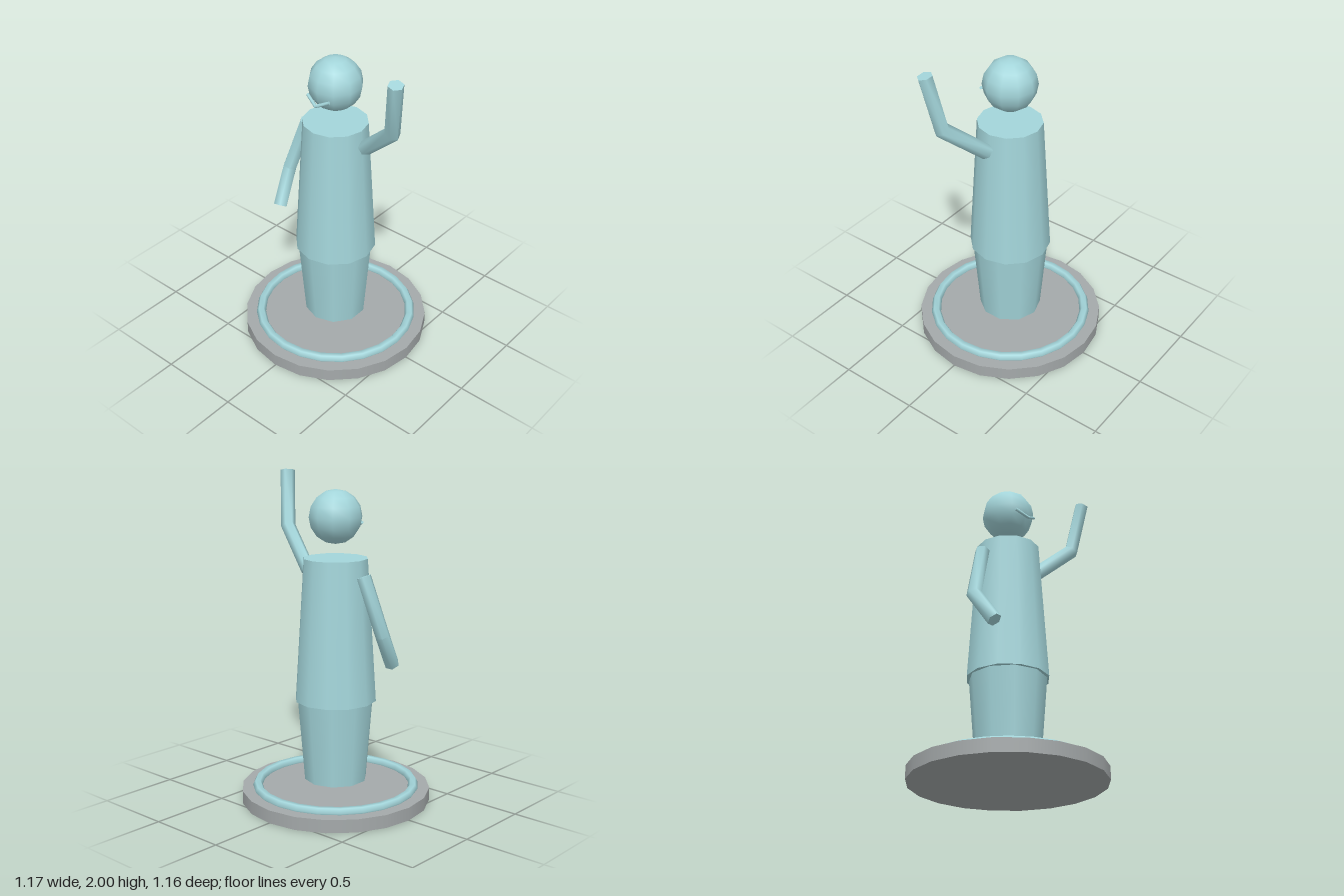
import * as THREE from 'three';
import { toCreasedNormals } from 'three/addons/utils/BufferGeometryUtils.js';

const CX = -0.004; // shared axis of base, body and head

// Capped limb through a list of points, mitred at each bend
function limbGeometry(points, radius, sides) {
  const p = points.map((a) => new THREE.Vector3(...a));
  const dirs = p.slice(1).map((b, i) => b.clone().sub(p[i]).normalize());
  const u = new THREE.Vector3(0, 0, 1).cross(dirs[0]).normalize();
  const v = dirs[0].clone().cross(u);
  let ring = Array.from({ length: sides }, (_, i) => {
    const a = (i / sides) * Math.PI * 2;
    return p[0].clone().addScaledVector(u, radius * Math.cos(a)).addScaledVector(v, radius * Math.sin(a));
  });
  const rings = [ring];
  // slide each ring along its segment onto the next joint plane
  dirs.forEach((d, k) => {
    const normal = d.clone().add(dirs[k + 1] ?? d).normalize();
    ring = ring.map((q) => {
      const t = p[k + 1].clone().sub(q).dot(normal) / d.dot(normal);
      return q.clone().addScaledVector(d, t);
    });
    rings.push(ring);
  });
  const verts = [...rings.flat(), p[0], p[p.length - 1]];
  const start = verts.length - 2;
  const end = verts.length - 1;
  const last = (rings.length - 1) * sides;
  const index = [];
  for (let i = 0; i < sides; i++) {
    const j = (i + 1) % sides;
    for (let k = 0; k < last; k += sides) {
      index.push(k + i, k + j, k + sides + i, k + j, k + sides + j, k + sides + i);
    }
    index.push(start, j, i, end, last + i, last + j);
  }
  const g = new THREE.BufferGeometry().setFromPoints(verts);
  g.setIndex(index);
  return toCreasedNormals(g, 1.1);
}

export function createModel() {
  const model = new THREE.Group();
  const teal = new THREE.MeshStandardMaterial({ color: 0xa3d5da });
  teal.name = 'pale teal';
  const grey = new THREE.MeshStandardMaterial({ color: 0xa4a9aa });
  grey.name = 'stone grey';

  function add(name, geometry, material, x = 0, y = 0, z = 0) {
    const mesh = new THREE.Mesh(geometry, material);
    mesh.name = name;
    mesh.position.set(x, y, z);
    model.add(mesh);
    return mesh;
  }

  // Round stand with a raised ring
  add('base', new THREE.CylinderGeometry(0.582, 0.582, 0.08, 20), grey, CX, 0.04);
  add('baseRing', new THREE.TorusGeometry(0.483, 0.03, 6, 24).rotateX(-Math.PI / 2), teal, CX, 0.09);

  // Body
  add('legs', new THREE.CylinderGeometry(0.235, 0.193, 0.52, 10), teal, CX, 0.39);
  add('torso', new THREE.CylinderGeometry(0.195, 0.25, 0.87, 12), teal, CX, 1.07);

  // Head and smile
  add('head', new THREE.SphereGeometry(0.162, 10, 8).rotateY(Math.PI / 2), teal, CX, 1.75);
  add('smile', limbGeometry([[-0.08, 1.71, 0.147], [0, 1.672, 0.174], [0.08, 1.71, 0.147]], 0.01, 6), teal, CX);

  // Right arm hangs forward, left arm waves
  add('rightArm', limbGeometry([[-0.225, 1.415, 0], [-0.333, 1.07, 0.045], [-0.298, 0.868, 0.18]], 0.045, 6), teal);
  add('leftArm', limbGeometry([[0.218, 1.405, 0], [0.484, 1.65, 0.1], [0.538, 1.99, 0.155]], 0.045, 6), teal);

  return model;
}
